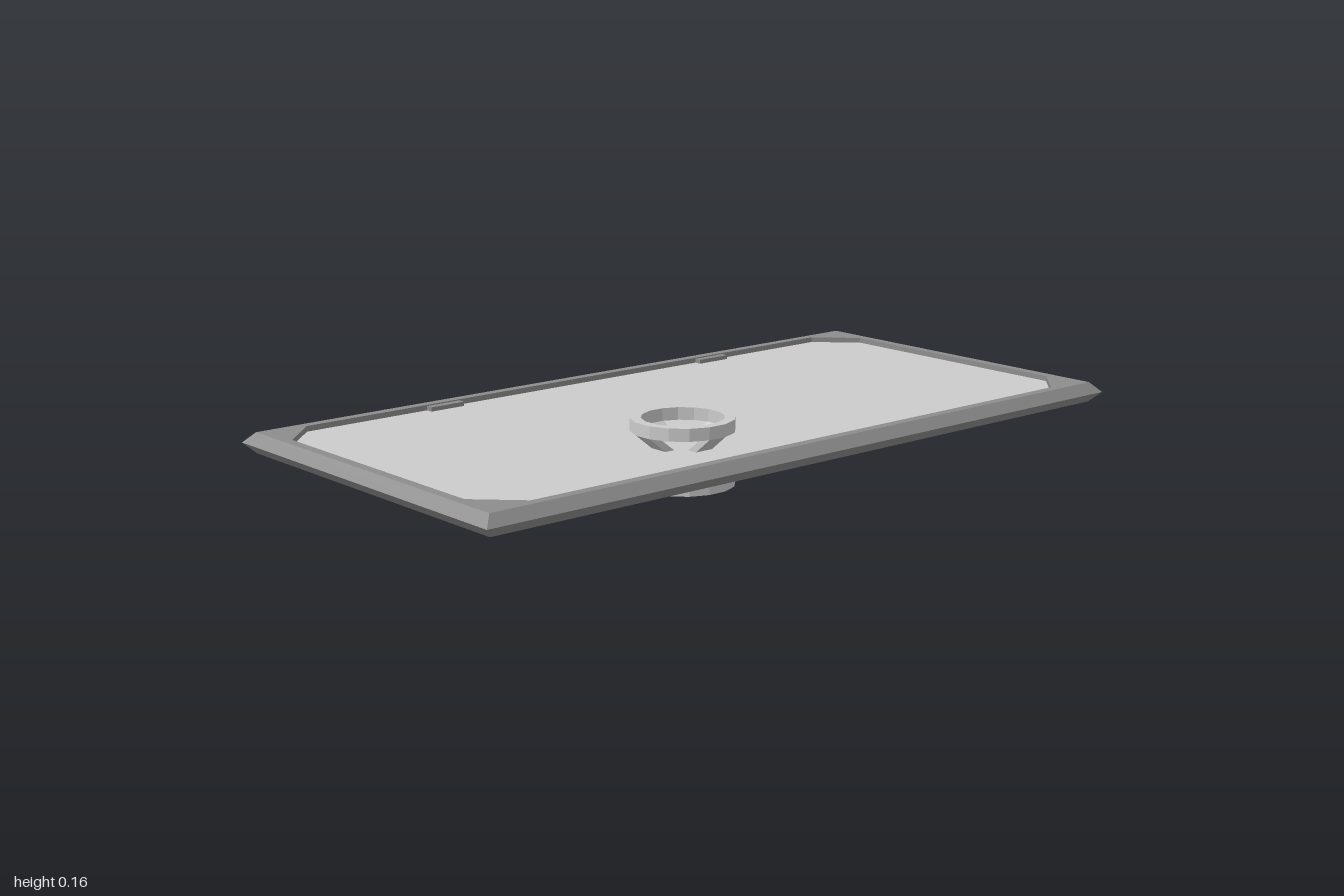
import * as THREE from 'three';

const MID = 0.081;      // height of the middle of the slab
const HALF = 0.026;     // half the frame thickness

export function createModel() {
  const model = new THREE.Group();
  const light = new THREE.MeshStandardMaterial({ color: 0xcccccc, flatShading: true });
  const dark = new THREE.MeshStandardMaterial({ color: 0x8d8d8d, flatShading: true });

  const add = (parent, name, geometry, material) => {
    const mesh = new THREE.Mesh(geometry, material);
    mesh.name = name;
    parent.add(mesh);
    return mesh;
  };
  const loop = (points) => points.map(([x, y]) => new THREE.Vector2(x, y));

  // Chamfered outline of the door opening
  const opening = loop([
    [-0.95, -0.35], [-0.85, -0.45], [0.85, -0.45], [0.95, -0.35],
    [0.95, 0.35], [0.85, 0.45], [-0.85, 0.45], [-0.95, 0.35],
  ]);

  // Frame: extruded in two steps, with the middle of its outer edge pushed out to a ridge
  const outline = new THREE.Shape(loop([[-0.975, -0.475], [0.975, -0.475], [0.975, 0.475], [-0.975, 0.475]]));
  outline.holes.push(new THREE.Path(opening));
  const frameGeo = new THREE.ExtrudeGeometry(outline, { depth: HALF * 2, steps: 2, bevelEnabled: false });
  const pos = frameGeo.attributes.position;
  for (let i = 0; i < pos.count; i++) {
    const x = pos.getX(i), y = pos.getY(i);
    const outer = Math.abs(x) > 0.96 && Math.abs(y) > 0.46;
    if (outer && Math.abs(pos.getZ(i) - HALF) < 0.001) {
      pos.setX(i, Math.sign(x));
      pos.setY(i, Math.sign(y) * 0.5);
    }
  }
  frameGeo.rotateX(-Math.PI / 2).translate(0, MID - HALF, 0);
  frameGeo.computeVertexNormals();
  add(model, 'frame', frameGeo, dark);

  // Recessed door panel
  const panelGeo = new THREE.ExtrudeGeometry(new THREE.Shape(opening), { depth: 0.024, bevelEnabled: false });
  panelGeo.rotateX(-Math.PI / 2).translate(0, MID - 0.012, 0);
  add(model, 'panel', panelGeo, light);

  // Hinges on the back edge
  for (const x of [-0.45, 0.45]) {
    const hinge = add(model, 'hinge', new THREE.BoxGeometry(0.1, 0.046, 0.03), dark);
    hinge.position.set(x, MID, -0.445);
  }

  // Handwheel: a ring on four slanted spokes, measured up from the slab's middle
  const ringProfile = loop([[0.1, 0.05], [0.126, 0.05], [0.126, 0.081], [0.1, 0.081], [0.1, 0.05]]);
  const spokeShape = new THREE.Shape(loop([[0.046, 0.01], [0.073, 0.01], [0.123, 0.05], [0.098, 0.05]]));

  const makeWheel = (name) => {
    const wheel = new THREE.Group();
    wheel.name = name;
    add(wheel, 'wheelRing', new THREE.LatheGeometry(ringProfile, 16, Math.PI / 16), light);
    for (let i = 0; i < 4; i++) {
      const geo = new THREE.ExtrudeGeometry(spokeShape, { depth: 0.05, bevelEnabled: false });
      geo.translate(0, 0, -0.025);
      add(wheel, 'wheelSpoke', geo, light).rotation.y = i * Math.PI / 2;
    }
    wheel.position.set(-0.25, MID, 0.25);
    model.add(wheel);
    return wheel;
  };
  makeWheel('upperHandwheel');
  makeWheel('lowerHandwheel').rotation.x = Math.PI;

  return model;
}
